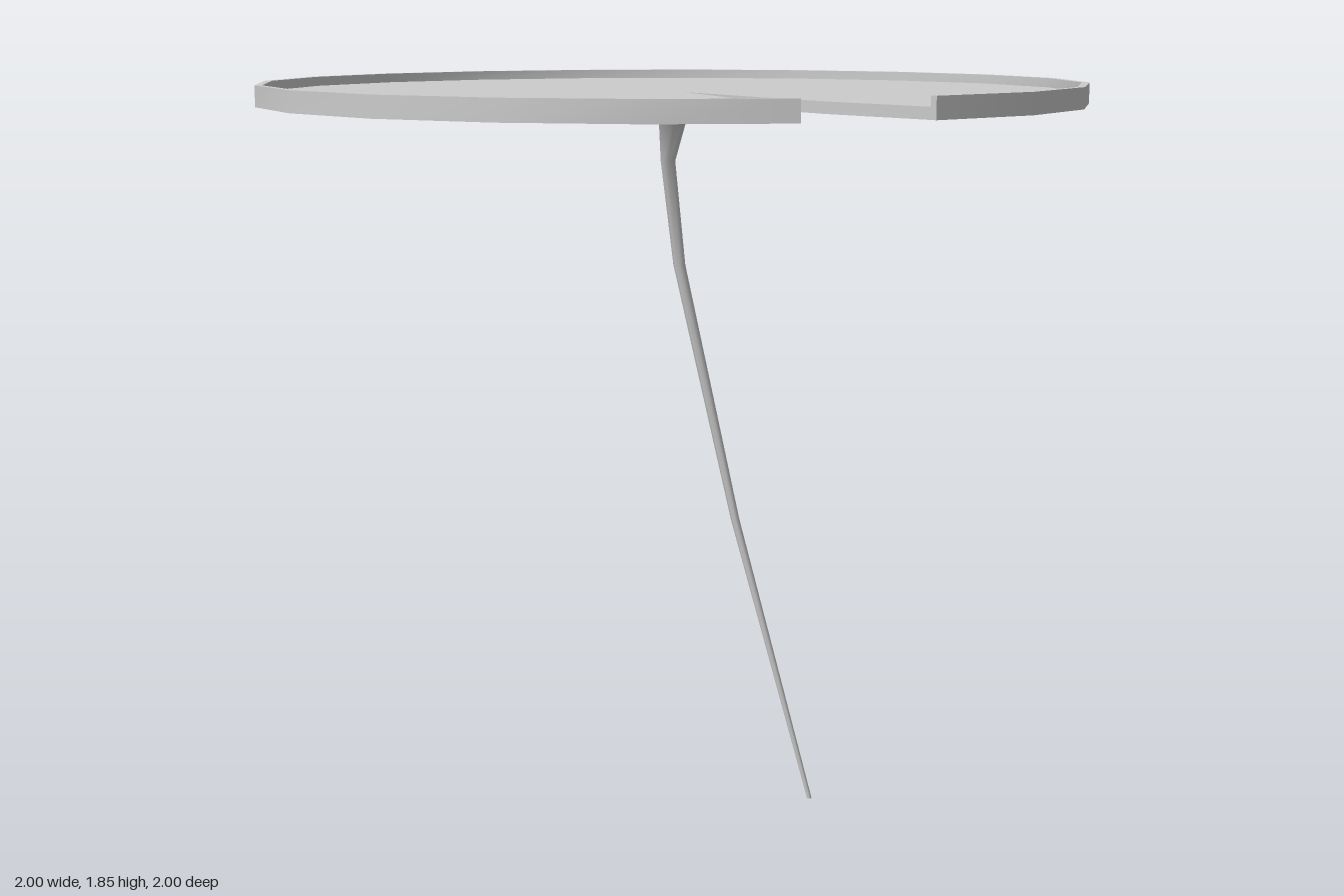
import * as THREE from 'three';
import { mergeGeometries, toCreasedNormals } from 'three/addons/utils/BufferGeometryUtils.js';

const BOTTOM = 1.795, FLOOR = 1.822, TOP = 1.845;

// Quad strip between two rows of points
function strip(a, b) {
  const pos = [];
  for (let i = 0; i < a.length - 1; i++) {
    for (const p of [a[i], a[i + 1], b[i + 1], a[i], b[i + 1], b[i]]) pos.push(...p);
  }
  const g = new THREE.BufferGeometry();
  g.setAttribute('position', new THREE.Float32BufferAttribute(pos, 3));
  return g;
}

// Flat face filling an [x, z] outline at height y, looking up (1) or down (-1)
function face(outline, y, dir) {
  const shape = new THREE.Shape(outline.map(([x, z]) => new THREE.Vector2(x, -dir * z)));
  const g = new THREE.ShapeGeometry(shape).rotateX(-dir * Math.PI / 2).translate(0, y, 0).toNonIndexed();
  g.deleteAttribute('uv');
  g.deleteAttribute('normal');
  return g;
}

function part(name, pieces, crease) {
  const material = new THREE.MeshStandardMaterial({ color: 0xcccccc });
  const mesh = new THREE.Mesh(toCreasedNormals(mergeGeometries(pieces), crease), material);
  mesh.name = name;
  return mesh;
}

// Round leaf with a raised rim and a curved notch
function createLeaf() {
  const outer = [];
  for (let i = 0; i <= 19; i++) {
    const t = THREE.MathUtils.degToRad(252 + 18 * i);
    outer.push([Math.cos(t), -Math.sin(t)]);
  }
  const inner = outer.map(([x, z]) => [x * 0.982, z * 0.982]);
  const slit = [[-0.37, 0.555], [-0.18, 0.29], [-0.022, 0.05], [-0.13, 0.33], [-0.235, 0.62]];
  const notch = [outer[19], inner[19], ...slit, inner[0], outer[0]];
  const at = (points, y) => points.map(([x, z]) => [x, y, z]);
  const wall = (points, y0, y1) => strip(at(points, y0), at(points, y1));

  return part('leaf', [
    face([...outer, ...slit], BOTTOM, -1),
    face([...inner, ...slit], FLOOR, 1),
    wall(outer, BOTTOM, TOP),
    strip(at(outer, TOP), at(inner, TOP)),
    wall(inner, TOP, FLOOR),
    wall(notch, BOTTOM, FLOOR),
    // rim ends at the notch
    wall([outer[19], inner[19]], FLOOR, TOP),
    wall([inner[0], outer[0]], FLOOR, TOP),
  ], 0.6);
}

// Bent, tapering stem that flares under the leaf
function createStem() {
  const rings = [ // x, y, z, radius
    [0.27, 0, 0.238, 0],
    [0.27, 0, 0.238, 0.006],
    [0.2, 0.73, 0.043, 0.011],
    [0.084, 1.39, -0.048, 0.015],
    [0.037, 1.65, -0.046, 0.018],
    [0.005, 1.765, -0.003, 0.036],
    [0, BOTTOM, 0, 0.06],
  ].map(([x, y, z, r]) => {
    const ring = [];
    for (let i = 0; i <= 8; i++) {
      const t = (i % 8) * Math.PI / 4;
      ring.push([x + r * Math.cos(t), y, z - r * Math.sin(t)]);
    }
    return ring;
  });
  return part('stem', rings.slice(1).map((ring, i) => strip(rings[i], ring)), 0.9);
}

export function createModel() {
  const group = new THREE.Group();
  group.name = 'lilyPad';
  group.add(createLeaf(), createStem());
  return group;
}
